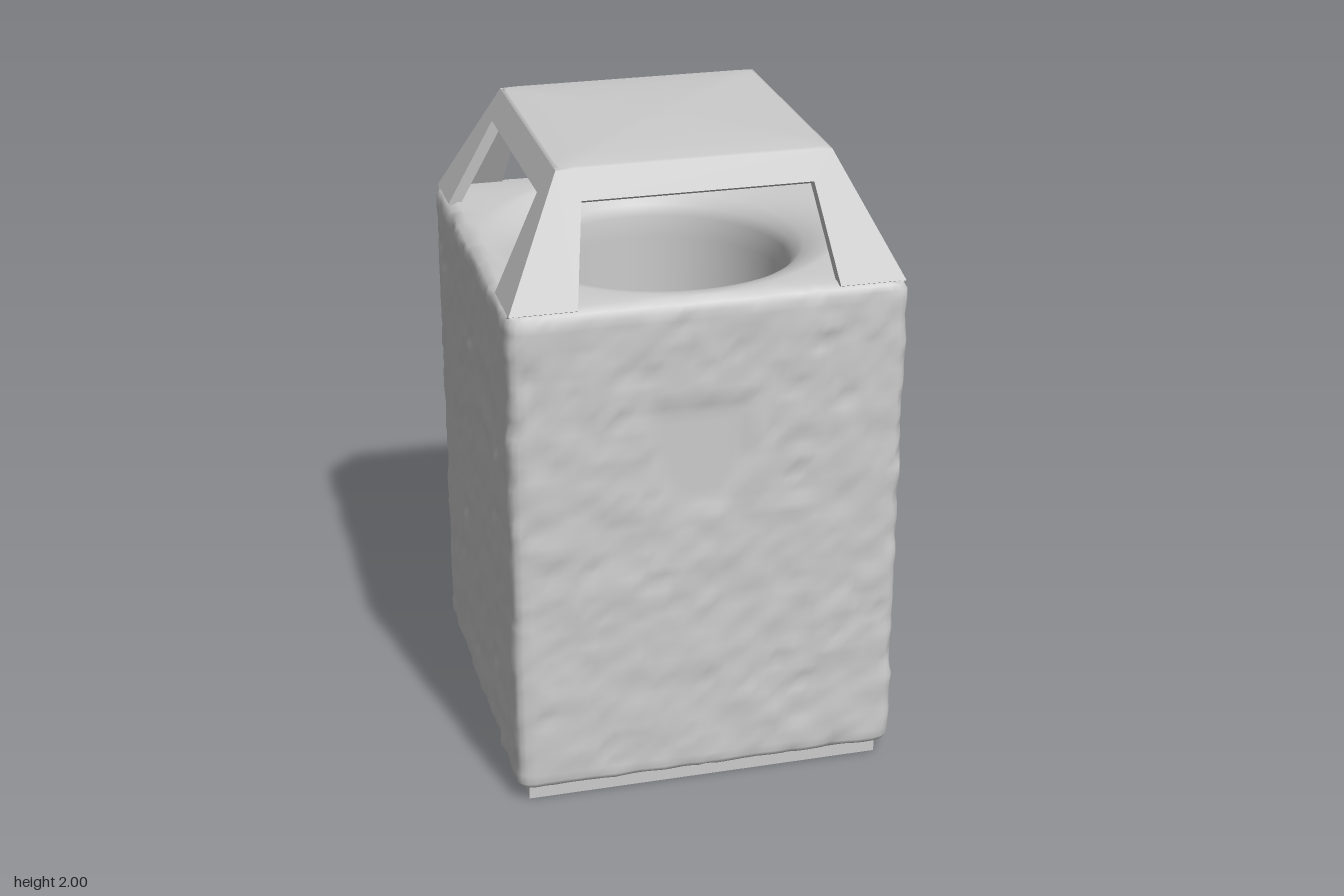
import * as THREE from 'three';

const material = new THREE.MeshStandardMaterial({ color: 0xcccccc, side: THREE.DoubleSide });
const H = 0.6; // half width of the body

// Seeded smooth value noise
function hash(x, y, z) {
  const s = Math.sin(x * 127.1 + y * 311.7 + z * 74.7) * 43758.5453;
  return s - Math.floor(s);
}
function noise(x, y, z) {
  const c = [x, y, z].map(Math.floor);
  const f = [x - c[0], y - c[1], z - c[2]].map((t) => t * t * (3 - 2 * t));
  let sum = 0;
  for (let i = 0; i < 8; i++) {
    const o = [i & 1, (i >> 1) & 1, i >> 2];
    const w = o.reduce((p, v, k) => p * (v ? f[k] : 1 - f[k]), 1);
    sum += w * hash(c[0] + o[0], c[1] + o[1], c[2] + o[2]);
  }
  return sum - 0.5;
}

// Lofts rings of a rounded square or a circle: { r: half width, y, round }
function loft(rings, perSide, corner, displace) {
  const n = perSide * 4, pos = [], index = [];
  for (const { r, y, round } of rings) {
    for (let i = 0; i < n; i++) {
      const side = Math.floor(i / perSide);
      const t = ((i % perSide) / perSide) * 2 - 1;
      const [qx, qz] = [[t, 1], [1, -t], [-t, -1], [-1, t]][side];
      const p = new THREE.Vector3(qx * r, y, qz * r);
      if (round) {
        p.set(qx, 0, qz).normalize().multiplyScalar(r).setY(y);
      } else if (r > corner) {
        const k = r - corner;
        const core = new THREE.Vector3(THREE.MathUtils.clamp(p.x, -k, k), y, THREE.MathUtils.clamp(p.z, -k, k));
        p.sub(core).setLength(corner).add(core);
      }
      if (displace) displace(p, round);
      pos.push(p.x, p.y, p.z);
    }
  }
  for (let j = 0; j < rings.length - 1; j++) {
    for (let i = 0; i < n; i++) {
      const a = j * n + i, b = j * n + ((i + 1) % n);
      index.push(a, b, b + n, a, b + n, a + n);
    }
  }
  const g = new THREE.BufferGeometry();
  g.setAttribute('position', new THREE.Float32BufferAttribute(pos, 3));
  g.setIndex(index);
  g.computeVertexNormals();
  return g;
}

// Rough stone skin with a smooth shield hollow in front and a door recess behind
function weather(p, round) {
  if (round) return;
  const { x, y, z } = p;
  if (z < -0.58 && Math.abs(x) < 0.55 && y > 0.085 && y < 1.475) {
    p.z = -0.57;
    return;
  }
  let d = 0.012 * noise(x * 14, y * 14, z * 14) + 0.009 * noise(x * 31, y * 31, z * 31);
  const pit = noise(x * 22 + 40, y * 22, z * 22);
  if (pit < -0.3) d += (pit + 0.3) * 0.08;
  if (z > 0.58) {
    const halfWidth = 0.17 - Math.max(0, 1.12 - y) * 0.5;
    const inside = Math.min(halfWidth - Math.abs(x + 0.03), y - 0.94, 1.32 - y);
    const m = THREE.MathUtils.smoothstep(inside, -0.01, 0.05);
    d = d * (1 - m) - 0.01 * m;
  }
  const out = new THREE.Vector3(
    Math.abs(x) > H - 0.045 ? Math.sign(x) : 0, 0,
    Math.abs(z) > H - 0.045 ? Math.sign(z) : 0).normalize();
  p.addScaledVector(out, d);
}

export function createModel() {
  const model = new THREE.Group();
  const add = (name, geometry, parent = model) => {
    const mesh = new THREE.Mesh(geometry, material);
    mesh.name = name;
    parent.add(mesh);
    return mesh;
  };

  // Base plate
  const base = add('basePlate', new THREE.BoxGeometry(1.12, 0.06, 1.145));
  base.position.set(0, 0.03, -0.0125);

  // Stone body, dished lip and inner bin in one skin
  const rings = [{ r: 0.5, y: 0.05 }, { r: H - 0.025, y: 0.05 }, { r: H - 0.007, y: 0.06 }];
  const rows = 56;
  for (let j = 0; j <= rows; j++) rings.push({ r: H, y: 0.075 + (1.59 - 0.075) * j / rows });
  rings.push({ r: H - 0.01, y: 1.61 }, { r: H - 0.035, y: 1.625 });
  for (const [r, y] of [[0.55, 1.627], [0.52, 1.622], [0.48, 1.607], [0.44, 1.585], [0.41, 1.555],
    [0.4, 1.52], [0.395, 1.45], [0.39, 0.14], [0.385, 0.12], [0.001, 0.12]]) {
    rings.push({ r, y, round: true });
  }
  add('stoneBody', loft(rings, 44, 0.04, weather));

  // Back door with a triangular finger pull
  const door = new THREE.Shape();
  door.moveTo(-0.54, 0.085).lineTo(0.54, 0.085).lineTo(0.54, 1.46).lineTo(-0.54, 1.46).closePath();
  const pull = new THREE.Path();
  pull.moveTo(0.5, 0.8).lineTo(0.39, 0.76).lineTo(0.44, 0.62).closePath();
  door.holes.push(pull);
  const doorGeometry = new THREE.ExtrudeGeometry(door, { depth: 0.025, bevelEnabled: false });
  add('backDoor', doorGeometry.translate(0, 0, -0.588));

  // Hood: crowned roof on four sloping frames that meet at the corner legs
  const hood = new THREE.Group();
  hood.name = 'hood';
  model.add(hood);
  const roof = [[0.001, 1.945], [0.385, 1.945], [0.412, 1.968], [0.411, 1.978], [0.4, 1.985],
    [0.3, 1.992], [0.15, 1.998], [0.001, 2]].map(([r, y]) => ({ r, y }));
  add('roof', loft(roof, 20, 0.015), hood);

  const foot = 0.59, top = 0.41, rise = 0.36;
  const length = Math.hypot(foot - top, rise);
  const frame = new THREE.Shape();
  [[-foot, 0], [-0.39, 0], [-0.345, length * 0.77], [0.345, length * 0.77], [0.39, 0], [foot, 0],
    [top, length], [-top, length]].forEach(([x, y], i) => (i ? frame.lineTo(x, y) : frame.moveTo(x, y)));
  const thickness = 0.035;
  const frameGeometry = new THREE.ExtrudeGeometry(frame, { depth: thickness, bevelEnabled: false })
    .translate(0, 0, -thickness)
    .rotateX(-Math.atan2(foot - top, rise))
    .translate(0, 1.62, foot);
  ['front', 'left', 'back', 'right'].forEach((side, k) => {
    add(side + 'HoodFrame', frameGeometry, hood).rotation.y = k * Math.PI / 2;
  });

  return model;
}
